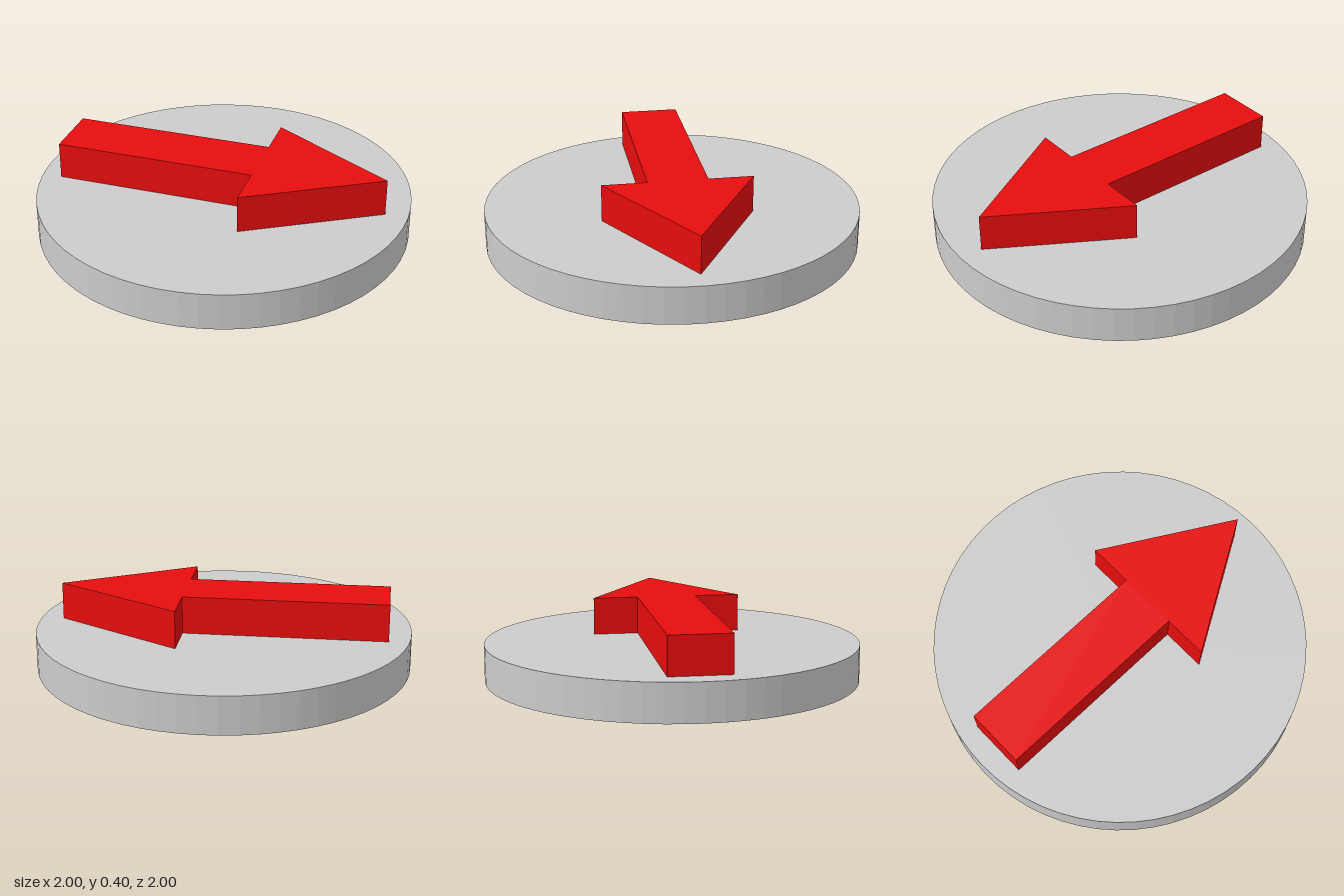
import * as THREE from 'three';

export function createModel() {
  const group = new THREE.Group();
  group.name = 'arrowDisc';

  // Round base plate
  const base = new THREE.Mesh(
    new THREE.CylinderGeometry(1, 1, 0.2, 64),
    new THREE.MeshStandardMaterial({ color: 0xcccccc, flatShading: true })
  );
  base.name = 'baseDisc';
  base.position.y = 0.1;
  group.add(base);

  // Raised arrow pointing to +x: half outline, mirrored across its axis
  const half = [[-0.88, 0.16], [0.2, 0.16], [0.2, 0.4]];
  const outline = [
    ...half.map(([x, z]) => new THREE.Vector2(x, -z)),
    new THREE.Vector2(0.88, 0),
    ...half.slice().reverse().map(([x, z]) => new THREE.Vector2(x, z)),
  ];
  const arrowGeometry = new THREE.ExtrudeGeometry(new THREE.Shape(outline), {
    depth: 0.2,
    bevelEnabled: false,
  });
  arrowGeometry.rotateX(-Math.PI / 2);
  const arrow = new THREE.Mesh(
    arrowGeometry,
    new THREE.MeshStandardMaterial({ color: 0xe60d0d, flatShading: true })
  );
  arrow.name = 'arrow';
  arrow.position.y = 0.2;
  group.add(arrow);

  return group;
}
